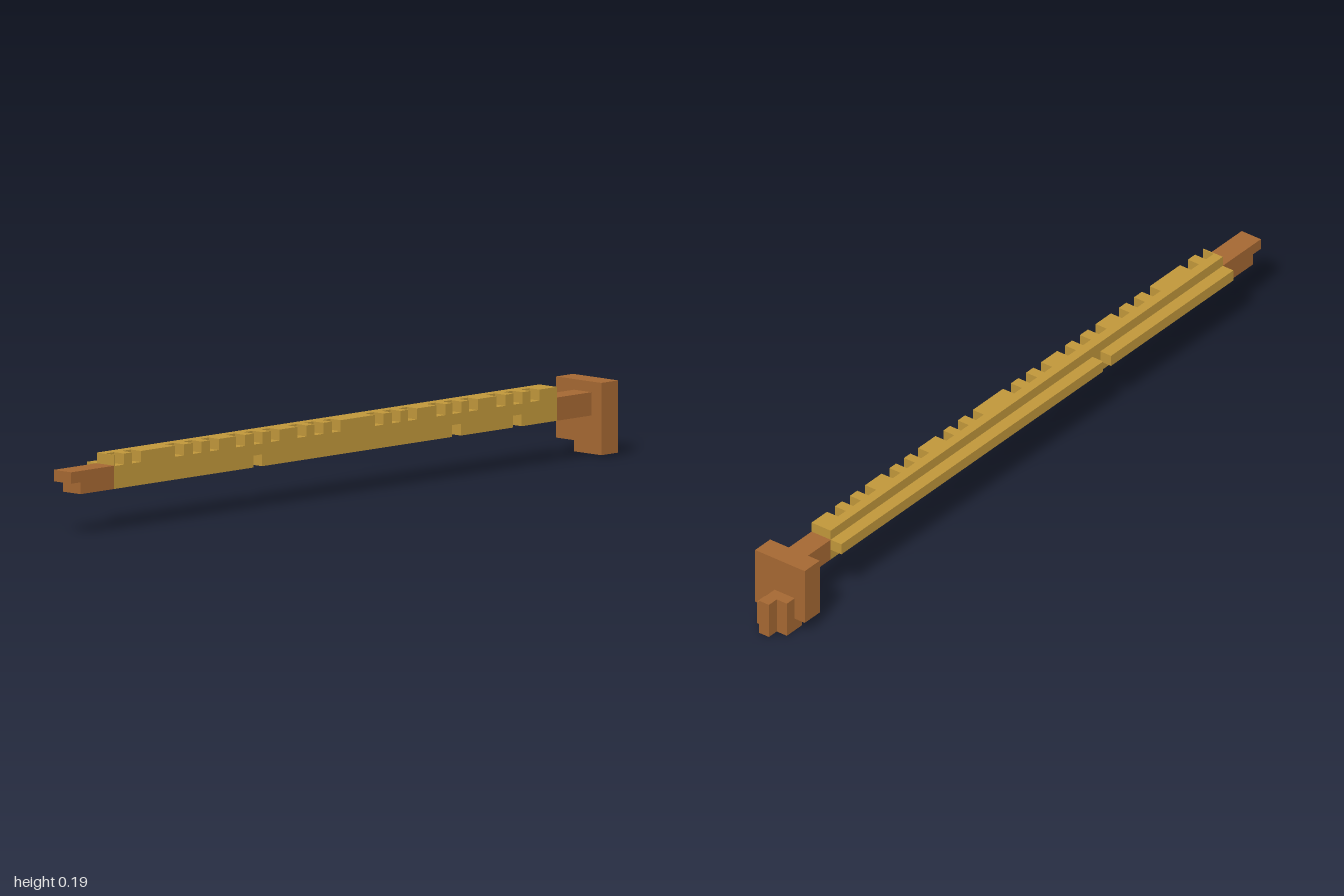
import * as THREE from 'three';

export function createModel() {
  const model = new THREE.Group();
  const brass = new THREE.MeshStandardMaterial({ color: 0xbf963a });
  brass.name = 'brass';
  const wood = new THREE.MeshStandardMaterial({ color: 0xa46732 });
  wood.name = 'brown wood';

  // Box given by its limits on each axis
  function box(name, material, [x0, x1], [y0, y1], [z0, z1]) {
    const mesh = new THREE.Mesh(new THREE.BoxGeometry(x1 - x0, y1 - y0, z1 - z0), material);
    mesh.position.set((x0 + x1) / 2, (y0 + y1) / 2, (z0 + z1) / 2);
    mesh.name = name;
    model.add(mesh);
  }

  const left = -0.845, right = 0.75, bottom = 0.104, top = 0.19;
  const half = 0.016;
  const topNotches = [-0.826, -0.765, -0.61, -0.546, -0.484, -0.39, -0.326, -0.265, -0.168, -0.107,
    -0.045, 0.11, 0.171, 0.23, 0.332, 0.39, 0.449, 0.548, 0.61, 0.671];
  const bottomNotches = [-0.328, 0.388, 0.607];

  // Notched front plate
  const outline = new THREE.Shape();
  outline.moveTo(left, bottom);
  for (const x of bottomNotches) {
    outline.lineTo(x - half, bottom);
    outline.lineTo(x - half, 0.134);
    outline.lineTo(x + half, 0.134);
    outline.lineTo(x + half, bottom);
  }
  outline.lineTo(right, bottom);
  outline.lineTo(right, top);
  for (const x of [...topNotches].reverse()) {
    outline.lineTo(x + half, top);
    outline.lineTo(x + half, 0.162);
    outline.lineTo(x - half, 0.162);
    outline.lineTo(x - half, top);
  }
  outline.lineTo(left, top);
  outline.closePath();
  const plate = new THREE.Mesh(
    new THREE.ExtrudeGeometry(outline, { depth: 0.035, bevelEnabled: false }), brass);
  plate.position.z = 0.01;
  plate.name = 'notchedPlate';
  model.add(plate);

  // Backing and the split rail behind it
  box('backing', brass, [left, right], [bottom, top], [-0.016, 0.01]);
  box('rearRailLong', brass, [-0.315, right], [0.133, 0.163], [-0.05, -0.016]);
  box('rearRailShort', brass, [left, -0.347], [0.133, 0.163], [-0.05, -0.016]);

  // Wooden bar showing at both ends
  const barZ = [-0.016, 0.045];
  box('barTip', wood, [-1, left], [0.134, 0.163], barZ);
  box('barTipLower', wood, [-0.967, left], [bottom, 0.134], barZ);
  box('barNeck', wood, [right, 0.875], [bottom, 0.163], barZ);

  // End block with stepped prongs
  box('endBlock', wood, [0.875, 0.936], [0.035, top], [-0.079, 0.079]);
  box('prongFoot', wood, [0.907, 0.936], [0, 0.035], [-0.047, 0.048]);
  box('shortProng', wood, [0.936, 0.968], [0, 0.065], [0.017, 0.048]);
  box('tallProng', wood, [0.936, 0.968], [0, 0.096], [-0.047, 0.017]);
  box('outerProng', wood, [0.968, 1], [0, 0.096], [-0.015, 0.017]);
  return model;
}
